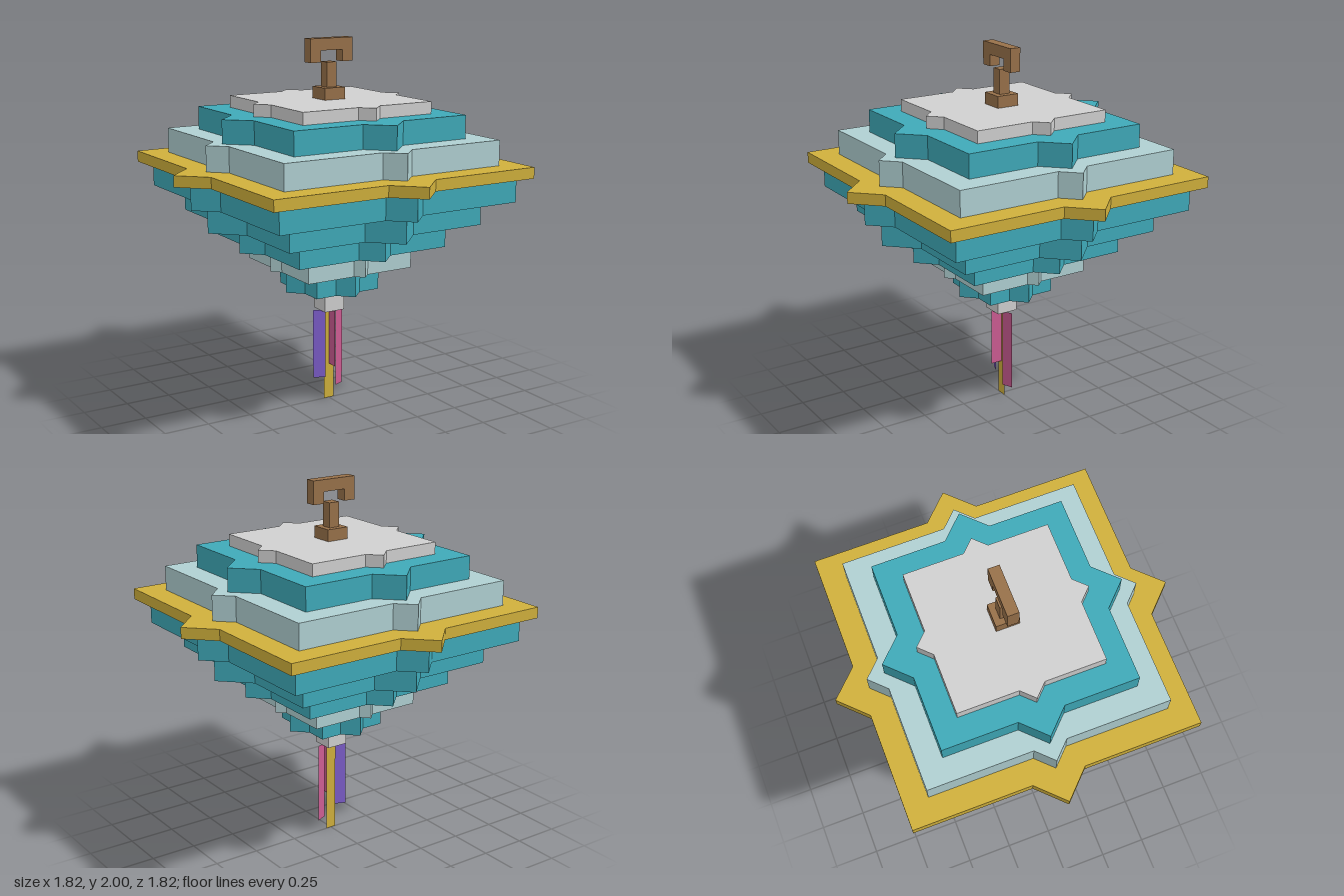
import * as THREE from 'three';

const mat = (name, color, side = THREE.FrontSide) => {
  const m = new THREE.MeshStandardMaterial({ color, side });
  m.name = name;
  return m;
};

export function createModel() {
  const group = new THREE.Group();
  const teal = mat('teal', 0x3faab9);
  const pale = mat('pale blue', 0xb0d0d2);
  const grey = mat('light grey', 0xd0d0d0);
  const gold = mat('gold', 0xd0b03c, THREE.DoubleSide);
  const brown = mat('brown', 0x98714a);
  const pink = mat('pink', 0xcc5c92, THREE.DoubleSide);
  const purple = mat('purple', 0x8060d0, THREE.DoubleSide);

  const add = (name, geometry, material, x = 0, y = 0, z = 0) => {
    const mesh = new THREE.Mesh(geometry, material);
    mesh.name = name;
    mesh.position.set(x, y, z);
    group.add(mesh);
    return mesh;
  };
  const box = (name, material, w, y0, y1, d, x = 0) =>
    add(name, new THREE.BoxGeometry(w, y1 - y0, d), material, x, (y0 + y1) / 2, 0);

  // Square slab (half side s) with a 45 degree point (reach t) on each side
  const tier = (name, material, y0, y1, s, t) => {
    const w = t - s, pts = [];
    for (let i = 0; i < 4; i++) {
      const c = new THREE.Vector2();
      for (const [x, y] of [[s, -s], [s, -w], [t, 0], [s, w]])
        pts.push(new THREE.Vector2(x, y).rotateAround(c, i * Math.PI / 2));
    }
    const g = new THREE.ExtrudeGeometry(new THREE.Shape(pts), { depth: y1 - y0, bevelEnabled: false });
    g.rotateX(-Math.PI / 2);
    add(name, g, material, 0, y0, 0);
  };

  // Stacked body, bottom to top
  box('bottomCap', grey, 0.12, 0.52, 0.65, 0.12);
  tier('lowerTier1', teal, 0.65, 0.78, 0.195, 0.27);
  tier('lowerTier2', pale, 0.78, 0.905, 0.32, 0.363);
  tier('lowerTier3', teal, 0.905, 1.035, 0.45, 0.547);
  tier('lowerTier4', teal, 1.035, 1.165, 0.58, 0.728);
  tier('lowerTier5', teal, 1.165, 1.295, 0.708, 0.82);
  tier('goldRim', gold, 1.295, 1.355, 0.772, 0.912);
  tier('upperTier1', pale, 1.355, 1.49, 0.643, 0.73);
  tier('upperTier2', teal, 1.49, 1.615, 0.516, 0.637);
  tier('topTier', grey, 1.615, 1.68, 0.388, 0.454);

  // Handle: foot, stem and bracket
  box('handleFoot', brown, 0.125, 1.68, 1.743, 0.125);
  box('handleStem', brown, 0.06, 1.743, 1.875, 0.06);
  box('bracketBar', brown, 0.26, 1.937, 2, 0.06);
  for (const s of [-1, 1]) box('bracketEnd', brown, 0.065, 1.875, 1.937, 0.06, s * 0.0975);

  // Thin hanging ribbons between two points in plan
  const ribbon = (name, material, x0, z0, x1, z1, bottom) => {
    const h = 0.52 - bottom;
    const mesh = add(name, new THREE.PlaneGeometry(Math.hypot(x1 - x0, z1 - z0), h), material,
      (x0 + x1) / 2, bottom + h / 2, (z0 + z1) / 2);
    mesh.rotation.y = Math.atan2(z0 - z1, x1 - x0);
  };
  ribbon('centreRibbon', gold, -0.03, 0, 0.03, 0, 0);
  ribbon('leftRibbon', pink, 0.034, 0.015, 0.092, -0.01, 0.07);
  ribbon('rightRibbon', purple, -0.095, -0.01, -0.032, 0.015, 0.13);
  ribbon('frontRibbon', pink, 0, 0.065, 0, 0, 0.2);

  return group;
}
